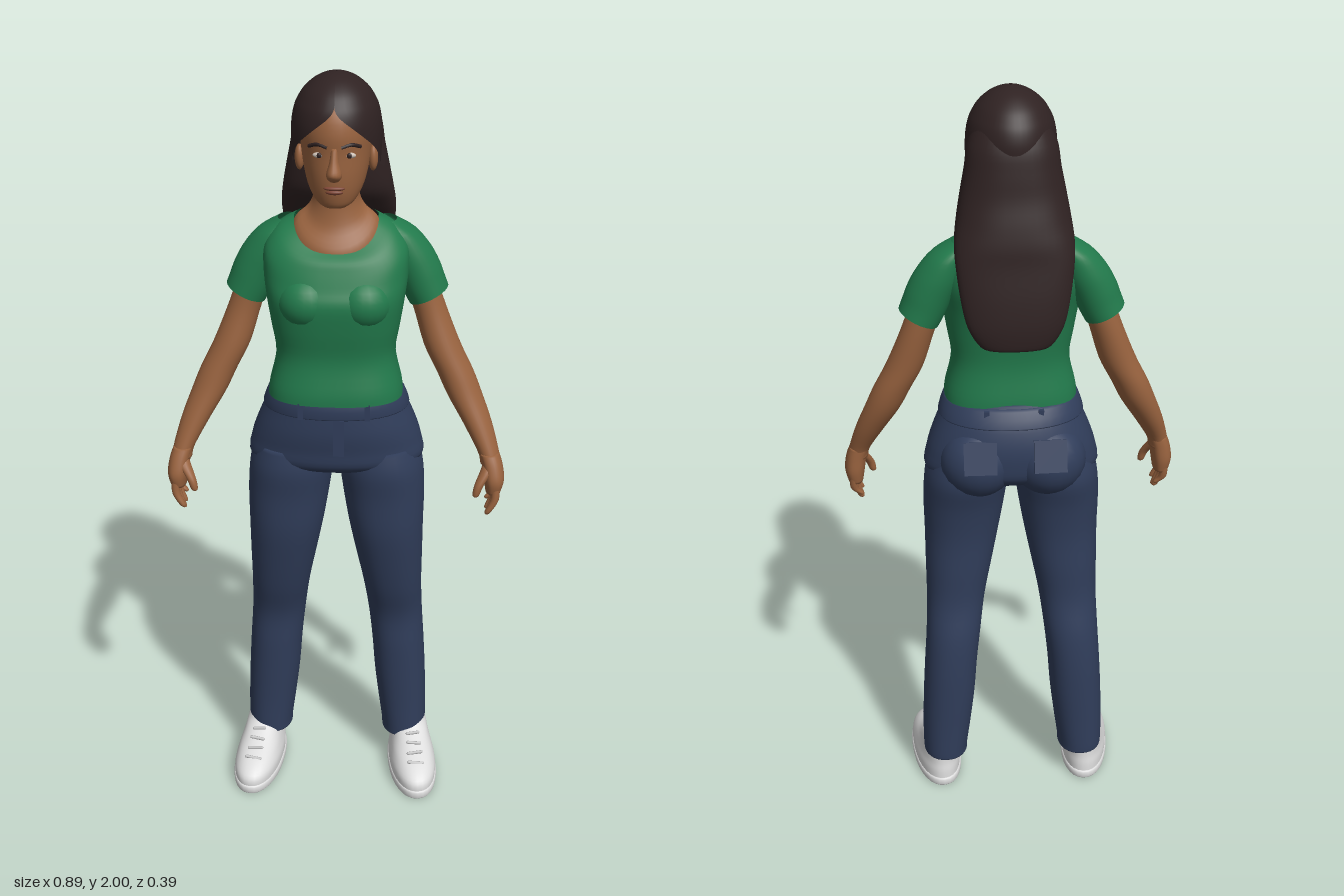
import * as THREE from 'three';

const mat = (name, color, side = THREE.FrontSide) => {
  const m = new THREE.MeshStandardMaterial({ color, side });
  m.name = name;
  return m;
};

// Smooth interpolation through the control rows
function refine(rows, steps) {
  const out = [], at = (i) => rows[Math.min(Math.max(i, 0), rows.length - 1)];
  for (let i = 0; i < rows.length - 1; i++) {
    for (let k = 0; k < steps; k++) {
      const t = k / steps;
      out.push([0, 1, 2, 3, 4, 5, 6, 7].map((c) => {
        const [a, b, d, e] = [at(i - 1), at(i), at(i + 1), at(i + 2)].map((r) => r[c] || 0);
        return b + 0.5 * t * (d - a + t * (2 * a - 5 * b + 4 * d - e + t * (3 * (b - d) + e - a)));
      }));
    }
  }
  const last = at(rows.length - 1);
  out.push([0, 1, 2, 3, 4, 5, 6, 7].map((c) => last[c] || 0));
  return out;
}

// Skin over rounded rings listed from bottom to top.
// Row: [y, x, z, radiusX, radiusZ, sideTilt, frontDip, frontGapDegrees]
function loft(rows, { n = 2, segs = 32, steps = 4, s = 1, caps = true, gap = false } = {}) {
  const rings = refine(rows, steps), pos = [], idx = [];
  const count = gap ? segs + 1 : segs;
  const pow = (v) => Math.sign(v) * Math.abs(v) ** (2 / n);
  const tri = (a, b, c) => (s > 0 ? idx.push(a, b, c) : idx.push(a, c, b));
  rings.forEach(([y, x, z, rx, rz, tilt, dip, g]) => {
    const open = Math.max(0, g) * Math.PI / 180;
    for (let i = 0; i < count; i++) {
      const a = Math.PI / 2 + open + (i / segs) * (2 * Math.PI - 2 * open);
      const c = Math.cos(a), d = Math.sin(a);
      pos.push(s * (x + rx * pow(c)), y + tilt * c - dip * Math.max(0, d), z + rz * pow(d));
    }
  });
  for (let j = 0; j < rings.length - 1; j++) {
    for (let i = 0; i < segs; i++) {
      const p = j * count + i, q = j * count + (i + 1) % count;
      tri(p, p + count, q);
      tri(q, p + count, q + count);
    }
  }
  if (caps && !gap) {
    const top = (rings.length - 1) * count, v = pos.length / 3;
    const [a, b] = [rings[0], rings[rings.length - 1]];
    pos.push(s * a[1], a[0], a[2], s * b[1], b[0], b[2]);
    for (let i = 0; i < segs; i++) {
      const k = (i + 1) % segs;
      tri(v, i, k);
      tri(v + 1, top + k, top + i);
    }
  }
  const geo = new THREE.BufferGeometry();
  geo.setAttribute('position', new THREE.Float32BufferAttribute(pos, 3));
  geo.setIndex(idx);
  geo.computeVertexNormals();
  return geo;
}

export function createModel() {
  const model = new THREE.Group();
  model.name = 'standingWoman';
  const skin = mat('skin', 0x99633f);
  const shirt = mat('greenShirt', 0x227a4c, THREE.DoubleSide);
  const denim = mat('blueDenim', 0x303d5a);
  const hair = mat('darkHair', 0x2f2222, THREE.DoubleSide);
  const shoe = mat('whiteShoe', 0xdedede);
  const lace = mat('greyLace', 0xc4c4c4);
  const lip = mat('lips', 0x7d4535);
  const white = mat('eyeWhite', 0xc9bdb2);

  const add = (name, geo, material, parent = model) => {
    const m = new THREE.Mesh(geo, material);
    m.name = name;
    parent.add(m);
    return m;
  };
  const blob = (name, material, p, r, parent) => {
    const geo = new THREE.SphereGeometry(1, 24, 16).scale(...r).translate(...p);
    return add(name, geo, material, parent);
  };

  // Head, neck and face
  add('neck', loft([
    [1.60, 0, 0, .12, .085, 0, .075], [1.64, 0, 0, .103, .089, 0, .07],
    [1.665, 0, -.005, .075, .065, 0, .045], [1.69, 0, -.005, .06, .055, 0, .015],
    [1.72, 0, 0, .057, .053], [1.78, 0, 0, .055, .055]]), skin);
  add('head', loft([
    [1.688, 0, .075, .026, .022], [1.70, 0, .06, .046, .046], [1.73, 0, .035, .066, .08],
    [1.77, 0, .02, .078, .1], [1.82, 0, .01, .086, .111], [1.87, 0, .005, .09, .119],
    [1.92, 0, 0, .083, .109], [1.96, 0, -.01, .055, .075], [1.972, 0, -.01, .02, .03]]), skin);
  add('nose', loft([
    [1.762, 0, .122, .01, .012], [1.772, 0, .126, .018, .024], [1.785, 0, .128, .018, .027],
    [1.81, 0, .121, .011, .019], [1.84, 0, .113, .008, .012]], { segs: 16 }), skin);
  blob('upperLip', lip, [0, 1.742, .111], [.026, .006, .011]);
  blob('lowerLip', lip, [0, 1.732, .108], [.022, .007, .011]);

  // Hair: parted cap around the face and the long fall down the back
  add('hairCap', loft([
    [1.78, 0, 0, .108, .122, 0, 0, 84], [1.815, 0, 0, .11, .126, 0, 0, 68],
    [1.84, 0, 0, .111, .13, 0, 0, 54], [1.865, 0, 0, .111, .132, 0, 0, 38],
    [1.89, 0, 0, .109, .131, 0, 0, 22], [1.915, 0, 0, .104, .125, 0, 0, 6],
    [1.935, 0, 0, .096, .115], [1.96, 0, 0, .08, .096], [1.982, 0, 0, .055, .066],
    [1.995, 0, 0, .028, .034], [2, 0, 0, .002, .002]], { gap: true, segs: 48 }), hair);
  add('longHair', loft([
    [1.392, 0, -.168, .06, .016], [1.402, 0, -.165, .088, .026], [1.45, 0, -.16, .118, .035],
    [1.52, 0, -.15, .134, .04], [1.60, 0, -.133, .144, .046], [1.65, 0, -.108, .146, .066],
    [1.70, 0, -.08, .14, .084], [1.76, 0, -.064, .129, .085], [1.82, 0, -.055, .117, .085],
    [1.88, 0, -.044, .107, .084], [1.94, 0, -.03, .075, .068], [1.965, 0, -.02, .04, .04]],
  { n: 2.3, segs: 40 }), hair);

  // Shirt body with scooped neckline
  add('shirtBody', loft([
    [1.188, 0, .03, .174, .126], [1.22, 0, .03, .17, .124], [1.30, 0, .028, .153, .112],
    [1.38, 0, .03, .164, .122], [1.45, 0, .027, .175, .132], [1.52, 0, .01, .183, .134, 0, .03],
    [1.58, 0, .004, .18, .124, 0, .05], [1.622, 0, .008, .148, .108, 0, .068],
    [1.645, 0, .005, .106, .09, 0, .073]], { n: 2.6, segs: 48, caps: false }), shirt);

  // Trousers: hips, waistband and fly
  add('hips', loft([
    [.965, 0, -.005, .17, .08], [1.0, 0, 0, .228, .134], [1.05, 0, 0, .224, .144],
    [1.10, 0, .005, .208, .146], [1.15, 0, .012, .187, .138], [1.18, 0, .02, .177, .127],
    [1.205, 0, .025, .168, .12]], { n: 2.2, segs: 40 }), denim);
  add('waistband', loft([
    [1.15, 0, .012, .186, .137], [1.152, 0, .012, .191, .142], [1.19, 0, .022, .178, .13],
    [1.195, 0, .022, .17, .12]], { n: 2.2, segs: 40, steps: 2 }), denim);
  const fly = add('fly', new THREE.BoxGeometry(.028, .1, .008), denim);
  fly.position.set(.012, 1.1, .15);

  for (const s of [1, -1]) {
    const side = new THREE.Group();
    side.name = s > 0 ? 'leftSide' : 'rightSide';
    model.add(side);
    const part = (name, rows, material, opt = {}) => add(name, loft(rows, { s, ...opt }), material, side);

    // Eyes, brows and ears
    blob('eyeWhite', white, [s * .036, 1.822, .108], [.016, .007, .007], side);
    blob('iris', hair, [s * .036, 1.822, .1125], [.0065, .0065, .004], side);
    const brow = new THREE.CatmullRomCurve3([
      new THREE.Vector3(s * .016, 1.842, .12), new THREE.Vector3(s * .04, 1.848, .111),
      new THREE.Vector3(s * .062, 1.84, .093)]);
    add('eyebrow', new THREE.TubeGeometry(brow, 10, .0045, 6), hair, side);
    blob('ear', skin, [s * .09, 1.795, .018], [.012, .032, .018], side);

    // Chest and sleeve
    blob('chest', shirt, [s * .072, 1.45, .086], [.075, .072, .079], side);
    part('sleeve', [
      [1.432, .235, -.032, .049, .062, .024], [1.46, .222, -.032, .052, .063, .022],
      [1.50, .205, -.033, .055, .065, .018], [1.55, .18, -.034, .056, .066, .01],
      [1.60, .155, -.034, .045, .06], [1.63, .125, -.03, .025, .04]], shirt, { caps: false });

    // Arm and palm
    part('arm', [
      [1.0, .406, .06, .026, .037], [1.03, .4, .054, .028, .035], [1.1, .37, .027, .038, .043],
      [1.17, .335, .003, .046, .049], [1.23, .308, -.01, .048, .051], [1.3, .273, -.02, .048, .05],
      [1.4, .237, -.033, .043, .047], [1.5, .2, -.035, .045, .05]], skin);
    part('palm', [
      [.925, .416, .068, .02, .04], [.96, .417, .068, .027, .047], [1.0, .411, .062, .027, .041],
      [1.03, .401, .055, .026, .034]], skin, { n: 2.4 });

    // Fingers and thumb
    for (let i = 0; i < 4; i++) {
      const z = .036 + i * .021, tip = [.885, .867, .86, .872][i];
      part('finger', [
        [tip, .402, z + .008, .003, .003], [tip + .006, .404, z + .008, .008, .008],
        [.91, .42, z + .004, .011, .011], [.95, .42, z, .012, .012]], skin, { segs: 12 });
    }
    part('thumb', [
      [.922, .369, .112, .003, .003], [.928, .37, .111, .009, .01], [.955, .378, .106, .012, .013],
      [.99, .398, .085, .016, .018], [1.01, .403, .07, .014, .015]], skin, { segs: 14 });

    // Seat, leg and back pocket
    blob('seat', denim, [s * .092, 1.04, -.07], [.1, .1, .094], side);
    part('leg', [
      [.098, .194, -.048, .062, .081], [.12, .194, -.048, .063, .082], [.2, .188, -.048, .068, .082],
      [.3, .18, -.047, .072, .084], [.4, .173, -.045, .073, .085], [.5, .164, -.04, .075, .082],
      [.6, .155, -.015, .08, .087], [.7, .145, -.002, .09, .098], [.8, .135, .008, .1, .107],
      [.9, .127, .005, .109, .116], [.98, .119, 0, .111, .13], [1.04, .112, 0, .1, .122]],
    denim, { n: 2.2 });
    const pocket = add('backPocket', new THREE.BoxGeometry(.085, .085, .008), denim, side);
    pocket.position.set(s * .09, 1.085, -.155);
    pocket.rotation.set(.35, s * -.06, 0);
    for (const [x, z] of [[.085, .139], [.07, -.098]]) {
      const loop = add('beltLoop', new THREE.BoxGeometry(.014, .045, .016), denim, side);
      loop.position.set(s * x, 1.17, z);
    }

    // Shoe, turned slightly outward
    const foot = new THREE.Group();
    foot.name = 'shoe';
    foot.position.x = s * .216;
    foot.rotation.y = s * .12;
    side.add(foot);
    add('shoeUpper', loft([
      [.015, 0, .037, .064, .157], [.045, 0, .036, .065, .155], [.07, 0, .02, .059, .136],
      [.095, 0, -.012, .052, .103], [.12, 0, -.038, .047, .075], [.135, 0, -.045, .042, .064]],
    { s, n: 2.2 }), shoe, foot);
    add('sole', loft([
      [0, 0, .037, .063, .157], [.004, 0, .037, .067, .161], [.02, 0, .037, .068, .162],
      [.025, 0, .037, .063, .157]], { s, n: 2.2, steps: 2 }), shoe, foot);
    for (let i = 0; i < 4; i++) {
      const bar = add('lace', new THREE.CapsuleGeometry(.0045, .04 - i * .003, 4, 8), lace, foot);
      bar.position.set(0, .078 + i * .014, .132 - i * .028);
      bar.rotation.z = Math.PI / 2 + (i % 2 ? .12 : -.12);
    }
  }
  return model;
}
